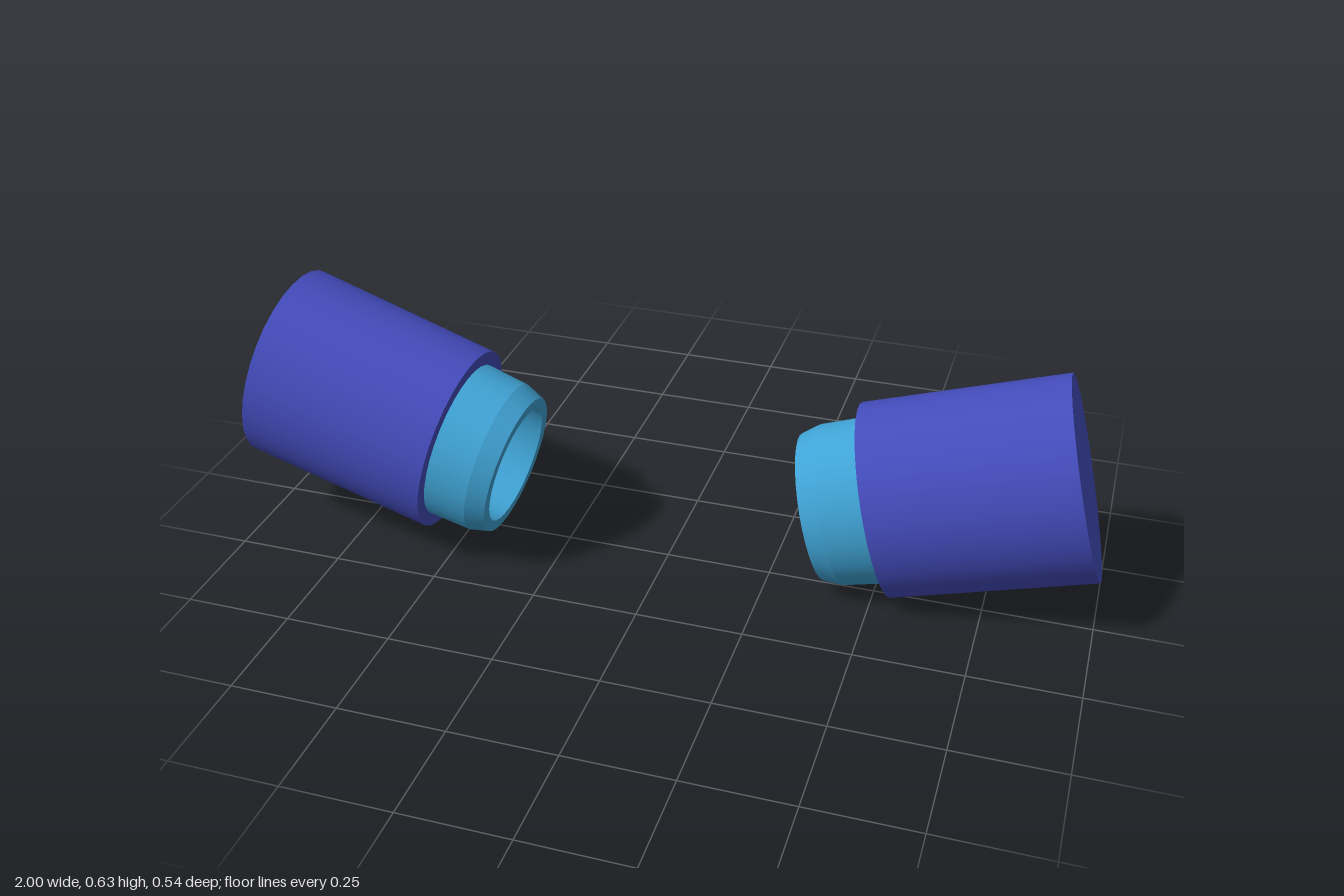
import * as THREE from 'three';
import { mergeGeometries } from 'three/addons/utils/BufferGeometryUtils.js';

const SEGMENTS = 32;
const FLATTEN = 0.82; // oval section, narrower front to back

// Oval lathe with a hard edge at every profile point
function ovalLathe(profile) {
  const bands = [];
  for (let i = 0; i < profile.length - 1; i++) {
    const pair = [profile[i], profile[i + 1]].map(([r, y]) => new THREE.Vector2(r, y));
    bands.push(new THREE.LatheGeometry(pair, SEGMENTS));
  }
  return mergeGeometries(bands).scale(FLATTEN, 1, 1);
}

export function createModel() {
  const blue = new THREE.MeshStandardMaterial({ color: 0x444cbc });
  blue.name = 'sleeve blue';
  const teal = new THREE.MeshStandardMaterial({ color: 0x40a4d6 });
  teal.name = 'cuff light blue';

  // Tapered sleeve: outer cap, side, step face, recess wall and recess floor
  const sleeveGeometry = ovalLathe([
    [0, 0], [0.243, 0], [0.235, 0.467], [0.153, 0.467], [0.153, 0.39], [0, 0.39],
  ]);
  // Hollow cuff: side, bevel, rim and inner wall
  const cuffGeometry = ovalLathe([
    [0.2, 0.467], [0.195, 0.57], [0.179, 0.615], [0.15, 0.615], [0.15, 0.39],
  ]);

  // One arm piece, its axis running from the outer cap inward and down
  function armPiece(name, side, y, z) {
    const axis = new THREE.Vector3(-side * 0.45, -0.119, 0.038).normalize();
    const across = new THREE.Vector3().crossVectors(axis, new THREE.Vector3(0, 1, 0)).normalize();
    const third = new THREE.Vector3().crossVectors(across, axis);
    const arm = new THREE.Group();
    arm.name = name;
    arm.quaternion.setFromRotationMatrix(new THREE.Matrix4().makeBasis(across, axis, third));
    arm.position.set(side * 0.9375, y, z);
    const sleeve = new THREE.Mesh(sleeveGeometry, blue);
    sleeve.name = 'sleeve';
    const cuff = new THREE.Mesh(cuffGeometry, teal);
    cuff.name = 'cuff';
    arm.add(sleeve, cuff);
    return arm;
  }

  const model = new THREE.Group();
  model.name = 'pairOfSleeves';
  model.add(armPiece('leftArm', 1, 0.348, -0.071), armPiece('rightArm', -1, 0.4, 0.04));
  return model;
}
